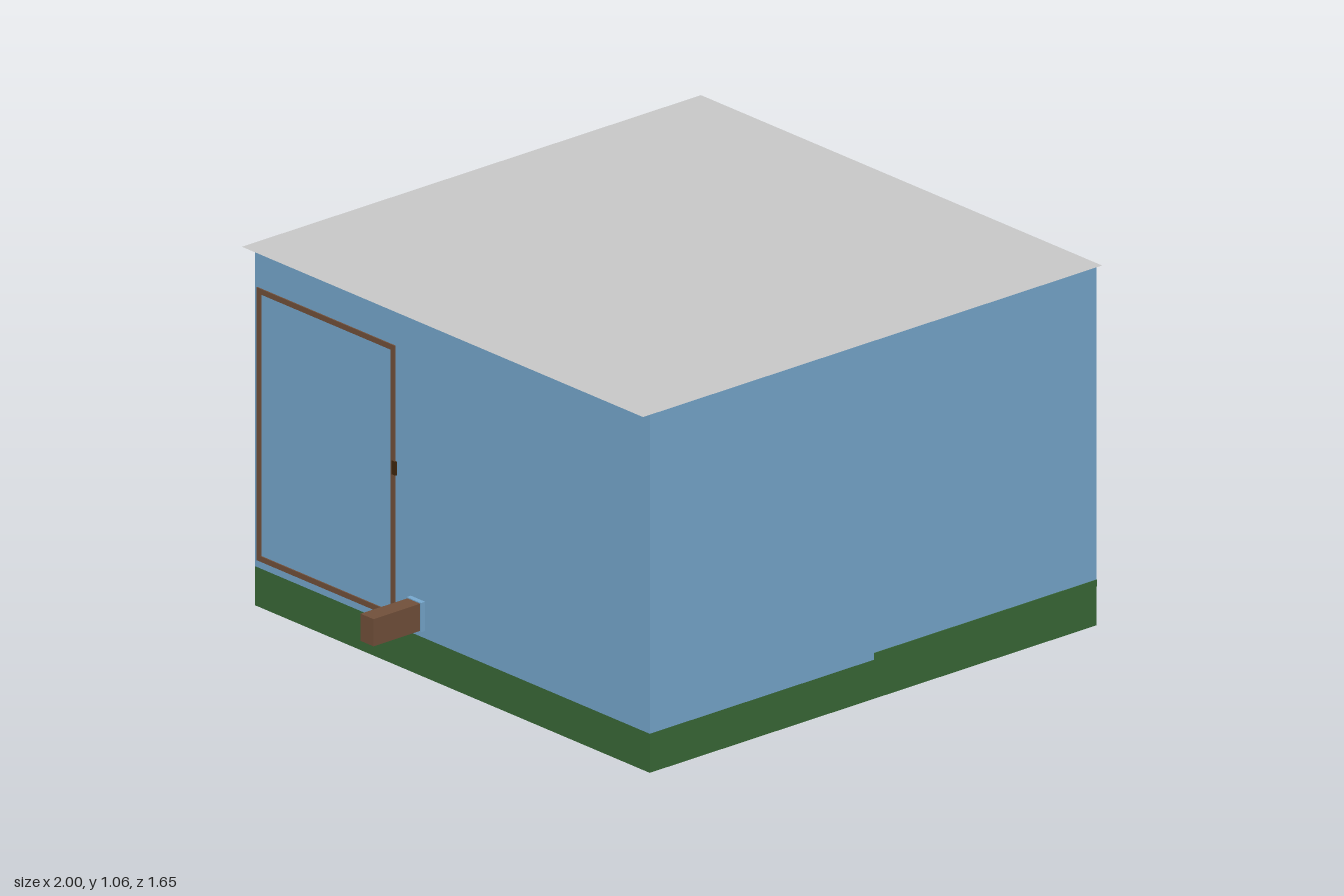
import * as THREE from 'three';
import { RoundedBoxGeometry } from 'three/addons/geometries/RoundedBoxGeometry.js';

const mat = (name, color, side = THREE.FrontSide) => {
  const m = new THREE.MeshStandardMaterial({ color, side });
  m.name = name;
  return m;
};

export function createModel() {
  const model = new THREE.Group();
  model.name = 'house';
  const blue = mat('wallBlue', 0x78aad0);
  const green = mat('baseGreen', 0x3a6a38);
  const brown = mat('woodBrown', 0x73513b);
  const dark = mat('darkWood', 0x40270e);
  const grey = mat('roofGrey', 0xcacaca, THREE.DoubleSide);

  const add = (name, geo, material, parent = model) => {
    const mesh = new THREE.Mesh(geo, material);
    mesh.name = name;
    parent.add(mesh);
    return mesh;
  };
  // box given by its minimum and maximum corners
  const box = (name, material, [x0, y0, z0], [x1, y1, z1], parent) => {
    const mesh = add(name, new THREE.BoxGeometry(x1 - x0, y1 - y0, z1 - z0), material, parent);
    mesh.position.set((x0 + x1) / 2, (y0 + y1) / 2, (z0 + z1) / 2);
    return mesh;
  };
  // rectangular frame of four bars lying in a side wall
  const sideFrame = (name, material, x0, x1, z0, z1, y0, y1, bar, sill) => {
    const frame = new THREE.Group();
    frame.name = name;
    model.add(frame);
    box('bottomBar', material, [x0, y0, z0], [x1, y0 + sill, z1], frame);
    box('topBar', material, [x0, y1 - bar, z0], [x1, y1, z1], frame);
    for (const z of [z0, z1 - bar])
      box('sideBar', material, [x0, y0 + sill, z], [x1, y1 - bar, z + bar], frame);
  };

  const L = -0.815, R = 0.81, B = -0.81, F = 0.818, H = 1.055, G = 0.115, T = 0.015;

  // foundation, its slightly raised edges and the floor inside
  box('base', green, [L, 0, B], [R, G, F]);
  box('floor', green, [L + T, G, B + T], [R - T, 0.13, F - T]);
  box('raisedFrontEdge', green, [0, G, F - 0.002], [R, 0.135, F + 0.002]);
  box('raisedRightEdge', green, [R - 0.002, G, B], [R + 0.002, 0.135, -0.08]);

  // walls
  box('frontWall', blue, [L, G, F - T], [R, H, F]);
  box('backWall', blue, [L, G, B], [R, H, B + T]);
  box('leftWall', blue, [L, G, B + T], [L + T, H, F - T]);

  // right wall with the window opening
  const wall = new THREE.Shape();
  wall.moveTo(B + T, G).lineTo(F - T, G).lineTo(F - T, H).lineTo(B + T, H).closePath();
  const opening = new THREE.Path();
  opening.moveTo(0.025, 0.48).lineTo(0.025, 0.86).lineTo(0.35, 0.86).lineTo(0.35, 0.48).closePath();
  wall.holes.push(opening);
  const rightWall = add('rightWall',
    new THREE.ExtrudeGeometry(wall, { depth: T, bevelEnabled: false }), blue);
  rightWall.rotation.y = -Math.PI / 2;
  rightWall.position.x = R;

  // thin flat roof with a small overhang
  const roof = add('roof', new THREE.PlaneGeometry(1.67, 1.655), grey);
  roof.rotation.x = -Math.PI / 2;
  roof.position.set(-0.01, H + 0.002, -0.003);

  // window and doors
  sideFrame('windowFrame', dark, R - 0.03, R + 0.01, 0.018, 0.362, 0.47, 0.87, 0.017, 0.032);
  box('backDoor', dark, [-0.23, 0.128, B - 0.005], [0.18, 0.8, B + T + 0.005]);
  sideFrame('leftDoorFrame', brown, L - 0.004, L + T + 0.004, -0.8, -0.23, 0.137, 0.94, 0.016, 0.016);
  box('doorHandle', dark, [L - 0.006, 0.56, -0.24], [L, 0.6, -0.225]);

  // shelves on the right wall: z range, height, thickness, outer x
  for (const [z0, z1, y, t, x1] of [
    [-0.68, -0.5, 0.742, 0.028, 0.818],
    [-0.395, -0.22, 0.66, 0.028, 0.818],
    [-0.68, -0.215, 0.546, 0.026, 0.83],
  ]) {
    const shelf = add('shelf', new RoundedBoxGeometry(0.1, t, z1 - z0, 2, 0.008), brown);
    shelf.position.set(x1 - 0.05, y, (z0 + z1) / 2);
  }

  // open duct on the right wall
  const duct = new THREE.Group();
  duct.name = 'duct';
  model.add(duct);
  const d = 0.004;
  box('ductBottom', blue, [R, 0.752, -0.61], [1, 0.752 + d, -0.553], duct);
  box('ductTop', blue, [R, 0.834 - d, -0.61], [1, 0.834, -0.553], duct);
  for (const z of [-0.61, -0.553 - d])
    box('ductSide', blue, [R, 0.752 + d, z], [1, 0.834 - d, z + d], duct);
  box('ductBack', brown, [R, 0.752 + d, -0.61 + d], [R + 0.005, 0.834 - d, -0.553 - d], duct);

  // timber on the left wall with its collar
  box('timber', brown, [-1, 0.14, -0.165], [L, 0.22, -0.112]);
  box('timberCollar', blue, [L - 0.015, 0.137, -0.168], [L, 0.223, -0.109]);

  // bench inside
  box('benchSeat', brown, [0.3, 0.13, -0.55], [0.78, 0.28, 0]);
  box('benchBack', dark, [0.3, 0.13, -0.58], [0.78, 0.33, -0.55]);

  return model;
}
